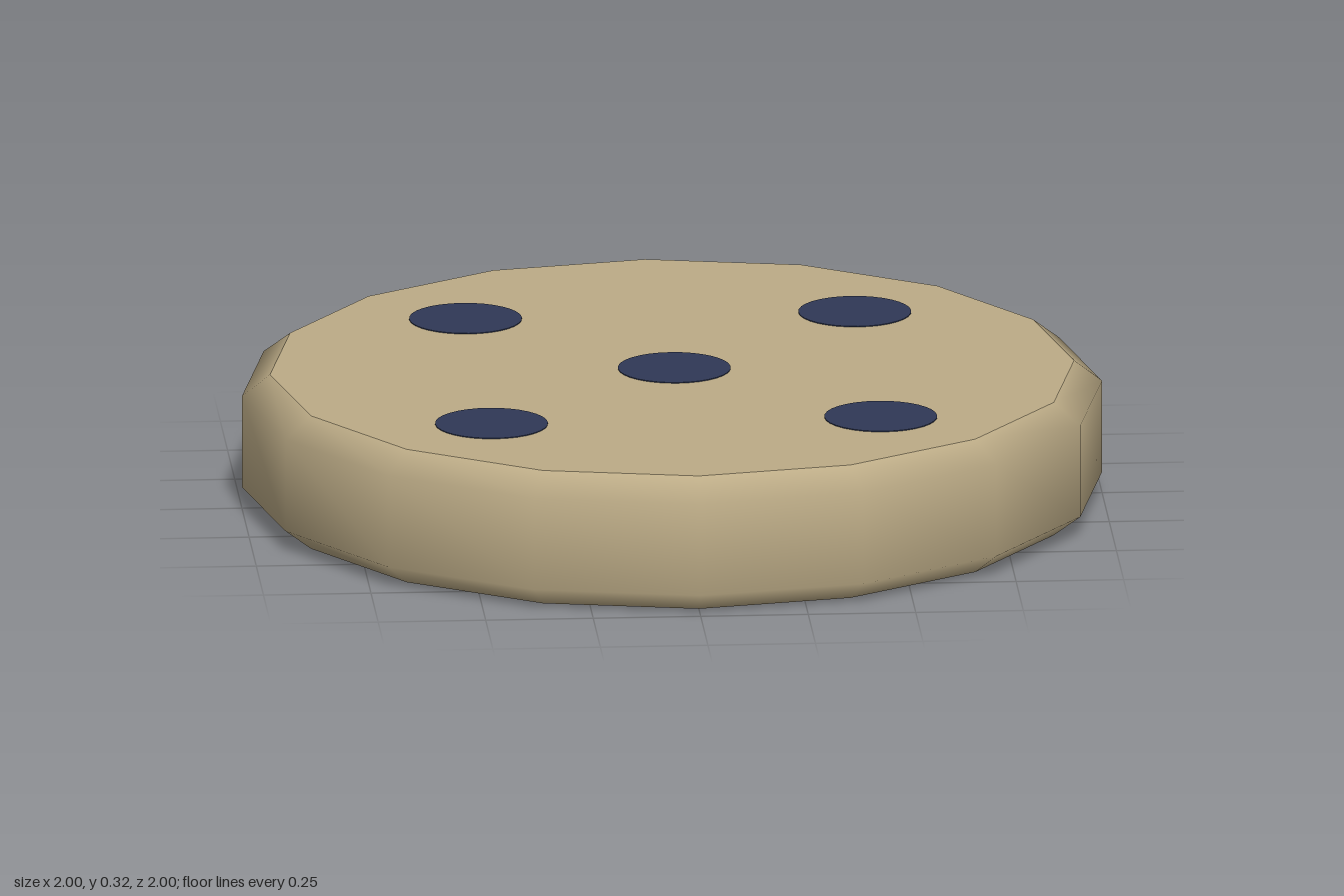
import * as THREE from 'three';

const SIDES = 16, HEIGHT = 0.32, RIM = 0.935;

export function createModel() {
  const group = new THREE.Group();
  const tan = new THREE.MeshStandardMaterial({ color: 0xbdac87 });
  tan.name = 'tan';
  const navy = new THREE.MeshStandardMaterial({ color: 0x2f3856 });
  navy.name = 'navy';

  const add = (name, geometry, material, x = 0, y = 0, z = 0) => {
    const mesh = new THREE.Mesh(geometry, material);
    mesh.name = name;
    mesh.position.set(x, y, z);
    group.add(mesh);
  };

  // Smooth wall with bevelled top and bottom edges
  const profile = [[RIM, 0], [1, 0.05], [1, 0.27], [RIM, HEIGHT]]
    .map(([r, y]) => new THREE.Vector2(r, y));
  add('wall', new THREE.LatheGeometry(profile, SIDES), tan);

  // Flat faces
  const face = new THREE.CircleGeometry(RIM, SIDES).rotateX(-Math.PI / 2);
  add('topFace', face, tan, 0, HEIGHT, 0);
  add('bottomFace', face.clone().rotateX(Math.PI), tan);

  // Five painted spots: one in the middle, four around it
  const spot = new THREE.CylinderGeometry(0.131, 0.131, 0.004, 32);
  const spots = [[0.005, 0.005], [-0.45, -0.45], [0.455, -0.45], [-0.45, 0.455], [0.455, 0.455]];
  spots.forEach(([x, z], i) => add('spot' + (i + 1), spot, navy, x, HEIGHT, z));

  return group;
}
